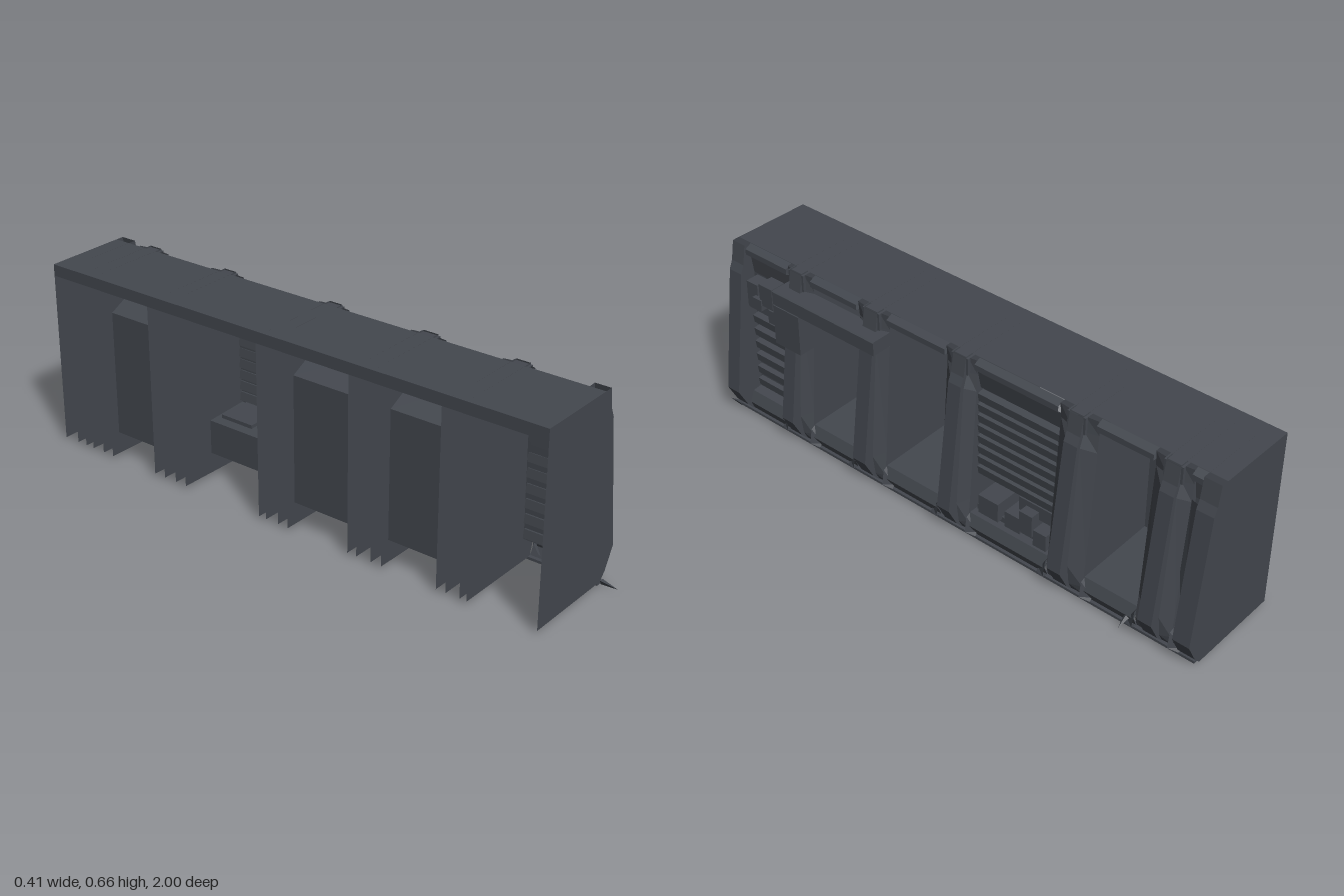
import * as THREE from 'three';

const mat = new THREE.MeshStandardMaterial({ color: 0x43474e, flatShading: true, side: THREE.DoubleSide });
const BACK = -0.203;

// Outlines are [x, y] points running from the top edge down to the ground
const RIB = [[0.118, 0.66], [0.13, 0.59], [0.143, 0.56], [0.202, 0.11], [0.165, 0.04], [0.14, 0.012]];
const SHOULDER = [[0.11, 0.655], [0.112, 0.6], [0.13, 0.55], [0.165, 0.12], [0.155, 0.045], [0.138, 0.012]];
const FLANK = [[0.105, 0.655], [0.1, 0.6], [0.105, 0.54], [0.135, 0.14], [0.145, 0.05], [0.135, 0.012]];
const SKIRT = [[0.135, 0.085], [0.152, 0.045], [0.138, 0.012]];
const RAIL = [[0.09, 0.657], [0.115, 0.645], [0.115, 0.625]];
const DEEP = [...RAIL, [0.0, 0.62], [-0.168, 0.53], [-0.168, 0.09], ...SKIRT];
const LOUVRE = [...RAIL, [0.1, 0.615], [0.085, 0.545], [0.075, 0.54], [0.085, 0.215], [-0.075, 0.205],
  [-0.075, 0.085], ...SKIRT];
const SHALLOW = [...RAIL, [0.095, 0.615], [0.085, 0.545], [0.095, 0.09], ...SKIRT];

export function createModel() {
  const root = new THREE.Group();

  const add = (name, geo, parent = root) => {
    const m = new THREE.Mesh(geo, mat);
    m.name = name;
    parent.add(m);
    return m;
  };
  const group = (name) => {
    const g = new THREE.Group();
    g.name = name;
    root.add(g);
    return g;
  };
  // Surface spanning outline a at z0 to outline b at z1
  const loft = (name, a, z0, b, z1, parent) => {
    const pos = [], idx = [];
    a.forEach((p, i) => {
      pos.push(p[0], p[1], z0, b[i][0], b[i][1], z1);
      if (i) {
        const k = 2 * i;
        // Keep the outer side in front whichever way the span runs
        if (z1 > z0) idx.push(k - 2, k, k - 1, k - 1, k, k + 1);
        else idx.push(k - 2, k - 1, k, k - 1, k + 1, k);
      }
    });
    const g = new THREE.BufferGeometry();
    g.setAttribute('position', new THREE.Float32BufferAttribute(pos, 3));
    g.setIndex(idx);
    g.computeVertexNormals();
    add(name, g, parent);
  };
  // Flat bulkhead from a back edge to an outline
  const sheet = (name, outline, z, back, parent) => {
    const pts = [[back, 0.012], [back, 0.655], ...outline].map((p) => new THREE.Vector2(...p));
    add(name, new THREE.ShapeGeometry(new THREE.Shape(pts)), parent).position.z = z;
  };
  const box = (name, x0, x1, y0, y1, z0, z1, parent) => {
    const m = add(name, new THREE.BoxGeometry(x1 - x0, y1 - y0, z1 - z0), parent);
    m.position.set((x0 + x1) / 2, (y0 + y1) / 2, (z0 + z1) / 2);
    return m;
  };

  // Roof with a short lip at the open back
  const roof = [[BACK, 0.615], [BACK, 0.655], [0.09, 0.659]];
  loft('roof', roof, -1, roof, 0.94);

  // Buttresses: a flat centre band with a slanting flank on either side
  const foot = [[0.13, 0.085], [0.152, 0.075], [0.162, 0.02], [0.13, 0.012]];
  const footTip = [[0.13, 0.03], [0.14, 0.025], [0.15, 0.013], [0.13, 0.012]];
  const ribs = [[-0.9, -0.865, -0.815, -0.77], [-0.57, -0.525, -0.475, -0.43], [-0.11, -0.08, -0.03, 0.01],
    [0.25, 0.285, 0.34, 0.38], [0.585, 0.62, 0.67, 0.695]];
  ribs.forEach(([a, b, c, d]) => {
    const g = group('buttress');
    loft('band', RIB, b, RIB, c, g);
    loft('flank', FLANK, a, SHOULDER, b, g);
    loft('flank', SHOULDER, c, FLANK, d, g);
    sheet('bulkhead', FLANK, a, BACK, g);
    sheet('bulkhead', RIB, b, BACK, g);
    sheet('bulkhead', RIB, c, BACK, g);
    sheet('bulkhead', FLANK, d, BACK, g);
    // Cap block and pointed feet
    box('cap', 0.085, 0.119, 0.595, 0.655, b - 0.008, c + 0.008, g);
    loft('foot', foot, a, footTip, a - 0.035, g);
    loft('foot', foot, d, footTip, d + 0.035, g);
  });

  // Long thin spur beside the rearmost full buttress
  const spur = new THREE.ConeGeometry(0.012, 0.055, 4);
  spur.rotateZ(-Math.PI / 2 - 0.4);
  add('spur', spur).position.set(0.163, 0.028, -0.74);

  // End walls with their half buttresses
  [[-1, -0.94, BACK], [0.94, 0.885, 0.05]].forEach(([z0, z1, back]) => {
    const g = group('endWall');
    sheet('endFace', RIB, z0, BACK, g);
    loft('band', RIB, z0, RIB, z1, g);
    sheet('bulkhead', RIB, z1, back, g);
  });

  // Bays between the buttresses
  loft('deepBay', DEEP, -0.77, DEEP, -0.57);
  loft('louvreBay', LOUVRE, -0.43, LOUVRE, -0.11);
  loft('deepBay', DEEP, 0.01, DEEP, 0.25);
  loft('deepBay', DEEP, 0.38, DEEP, 0.585);
  loft('equipmentBay', SHALLOW, 0.695, SHALLOW, 0.885);
  loft('narrowBay', SHALLOW, -0.94, SHALLOW, -0.9);

  // Slanting corner plate in the narrow bay
  loft('cornerPlate', [[0.125, 0.56], [0.165, 0.12]], -0.94, [[0.105, 0.55], [0.13, 0.3]], -0.9);

  // Horizontal slats
  const slats = (n, y0, y1, z0, z1, x) => {
    const g = group('louvre');
    for (let i = 0; i < n; i++) {
      const y = y0 + ((y1 - y0) * i) / (n - 1);
      box('slat', x - 0.015, x + 0.012, y, y + 0.03, z0, z1, g).rotation.z = -0.15;
    }
  };
  slats(8, 0.225, 0.505, -0.428, -0.112, 0.088);
  slats(6, 0.1, 0.36, 0.7, 0.88, 0.098);

  // Equipment clusters: [x1, y0, y1, z0, z1] per unit
  const cluster = (name, x0, units) => {
    const g = group(name);
    units.forEach(([x1, y0, y1, z0, z1]) => box('unit', x0, x1, y0, y1, z0, z1, g));
  };
  cluster('lowerMachinery', -0.04, [[0.13, 0.1, 0.17, -0.22, -0.14], [0.12, 0.09, 0.15, -0.3, -0.24],
    [0.135, 0.12, 0.2, -0.36, -0.31], [0.14, 0.1, 0.16, -0.42, -0.37], [0.1, 0.17, 0.22, -0.41, -0.28],
    [0.11, 0.09, 0.11, -0.42, -0.12]]);
  cluster('upperMachinery', 0.08, [[0.135, 0.45, 0.54, 0.82, 0.87], [0.145, 0.48, 0.56, 0.74, 0.8],
    [0.14, 0.42, 0.47, 0.71, 0.77], [0.125, 0.43, 0.53, 0.7, 0.88], [0.15, 0.46, 0.5, 0.79, 0.83]]);

  // Duct running across two buttresses, with its junction box
  const duct = [[0.1, 0.541], [0.177, 0.541], [0.177, 0.588], [0.173, 0.592], [0.1, 0.592]];
  const shape = new THREE.Shape(duct.map((p) => new THREE.Vector2(...p)));
  add('duct', new THREE.ExtrudeGeometry(shape, { depth: 0.45, bevelEnabled: false })).position.z = 0.25;
  box('junctionBox', 0.09, 0.177, 0.39, 0.537, 0.585, 0.7);

  // Ground strake ending in a thin point at the front corner
  box('strake', 0.125, 0.15, 0.005, 0.014, -0.99, 0.94);
  loft('strakeTip', [[0.14, 0.016], [0.155, 0.016], [0.148, 0.0], [0.14, 0.016]], 0.94,
    Array(4).fill([0.147, 0.004]), 1);

  return root;
}
